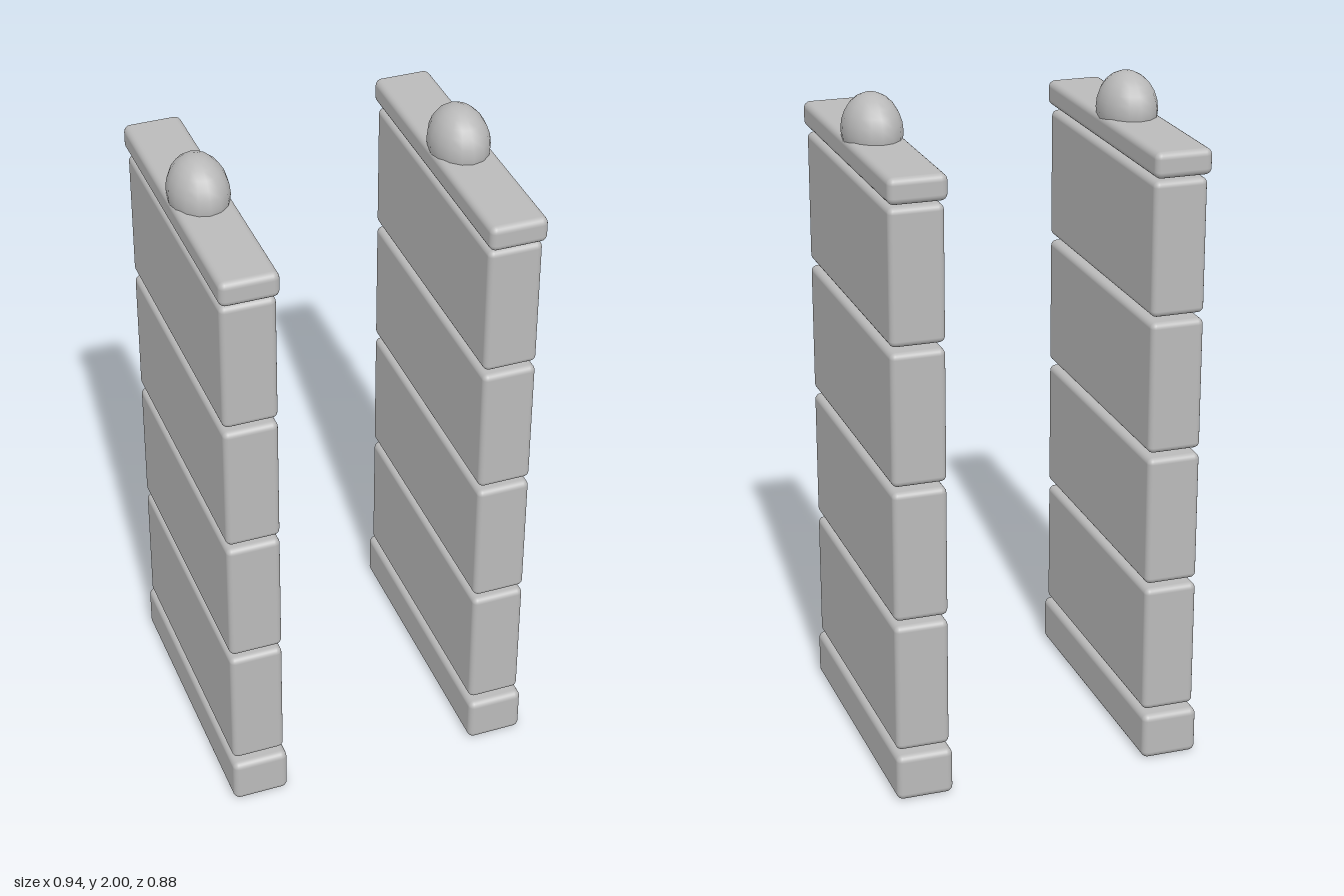
import * as THREE from 'three';
import { RoundedBoxGeometry } from 'three/addons/geometries/RoundedBoxGeometry.js';

export function createModel() {
  const model = new THREE.Group();
  model.name = 'gatePillars';
  const stone = new THREE.MeshStandardMaterial({ color: 0xbababa });
  stone.name = 'grey stone';

  // Rounded slab spanning y0..y1
  function slab(name, width, y0, y1, depth, radius) {
    const mesh = new THREE.Mesh(new RoundedBoxGeometry(width, y1 - y0, depth, 3, radius), stone);
    mesh.name = name;
    mesh.position.y = (y0 + y1) / 2;
    return mesh;
  }

  function pillar(name, x) {
    const group = new THREE.Group();
    group.name = name;
    group.position.x = x;

    // Plinth, four stacked blocks, capstone
    group.add(slab('base', 0.17, 0, 0.143, 0.88, 0.02));
    for (let i = 0; i < 4; i++) {
      const y = 0.154 + i * 0.413;
      group.add(slab('block' + (i + 1), 0.16, y, y + 0.396, 0.842, 0.018));
    }
    group.add(slab('capstone', 0.17, 1.801, 1.877, 0.88, 0.02));

    // Oval finial sunk through the capstone
    const finial = new THREE.Mesh(new THREE.SphereGeometry(1, 16, 12), stone);
    finial.name = 'finial';
    finial.scale.set(0.086, 0.108, 0.115);
    finial.position.y = 1.892;
    group.add(finial);
    return group;
  }

  model.add(pillar('leftPillar', 0.383), pillar('rightPillar', -0.383));
  return model;
}
